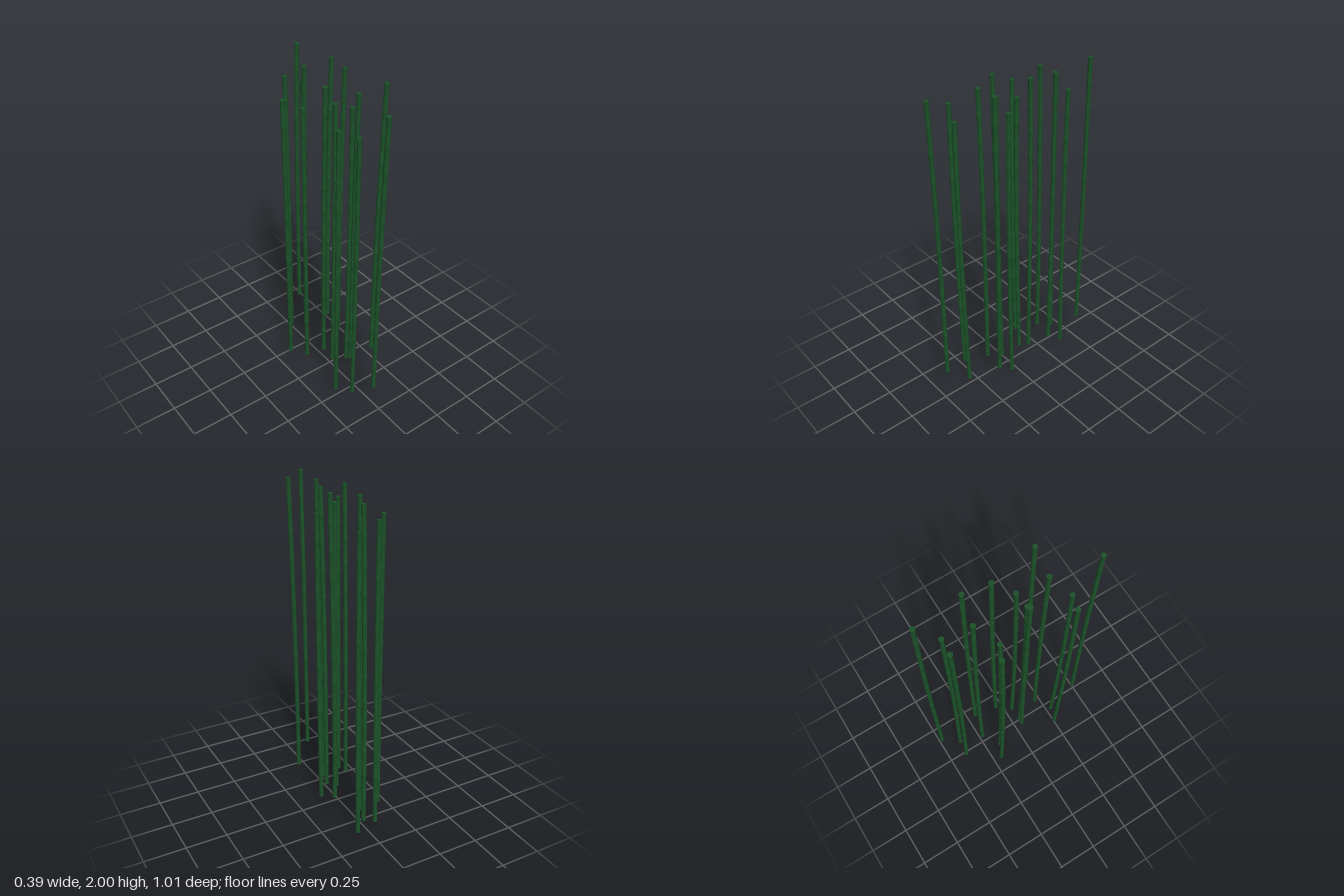
import * as THREE from 'three';
import { toCreasedNormals } from 'three/addons/utils/BufferGeometryUtils.js';

const LENGTH = 1.8, JOINTS = 12, RADIUS = 0.0128, RING = 0.0146;

// One jointed cane: slim internodes with a narrow raised ring at each joint,
// leaning by (leanX, leanZ) either near the top or near the foot.
function caneGeometry(leanX, leanZ, bendsAtTop) {
  const step = LENGTH / JOINTS;
  const profile = [new THREE.Vector2(0, 0)];
  for (let i = 0; i < JOINTS; i++) {
    const y = i * step;
    profile.push(
      new THREE.Vector2(RING, y),
      new THREE.Vector2(RADIUS, y + 0.012),
      new THREE.Vector2(RADIUS, y + step - 0.012),
      new THREE.Vector2(RING, y + step - 0.002)
    );
  }
  profile.push(new THREE.Vector2(RING, LENGTH), new THREE.Vector2(0, LENGTH));
  const geometry = new THREE.LatheGeometry(profile, 12);

  // Shift each cross-section along a gentle curve
  const p = geometry.attributes.position;
  for (let i = 0; i < p.count; i++) {
    const t = p.getY(i) / LENGTH;
    const s = bendsAtTop ? t * t : 1 - (1 - t) * (1 - t);
    p.setX(i, p.getX(i) + leanX * s);
    p.setZ(i, p.getZ(i) + leanZ * s);
  }
  return toCreasedNormals(geometry, 0.6);
}

// Cane kinds: foot height, lean, where it bends, and foot positions [x, z]
const kinds = [
  { y: 0.2, lean: 0.01, top: true, feet: [[0.108, -0.491], [0.14, -0.214], [0.117, -0.067], [0.169, 0.207]] },
  { y: 0.18, lean: -0.001, top: true, feet: [[-0.004, -0.247], [-0.067, 0.025], [0.021, 0.185], [-0.021, 0.463]] },
  { y: 0, lean: -0.011, top: false, feet: [[-0.073, -0.154], [-0.04, 0.284]] },
  { y: 0.055, lean: -0.011, top: false, feet: [[-0.168, -0.2], [-0.139, 0.245]] },
  { y: 0.03, lean: -0.003, top: false, feet: [[0.078, -0.382], [0.094, 0.047]] },
  { y: 0.08, lean: -0.003, top: false, feet: [[-0.03, -0.393], [-0.013, 0.042]] },
];

export function createModel() {
  const group = new THREE.Group();
  group.name = 'caneGrove';
  const green = new THREE.MeshStandardMaterial({ color: 0x1b5128 });

  for (const kind of kinds) {
    const geometry = caneGeometry(kind.lean, 0.027, kind.top);
    for (const [x, z] of kind.feet) {
      const cane = new THREE.Mesh(geometry, green);
      cane.name = 'cane';
      cane.position.set(x, kind.y, z);
      group.add(cane);
    }
  }
  return group;
}
